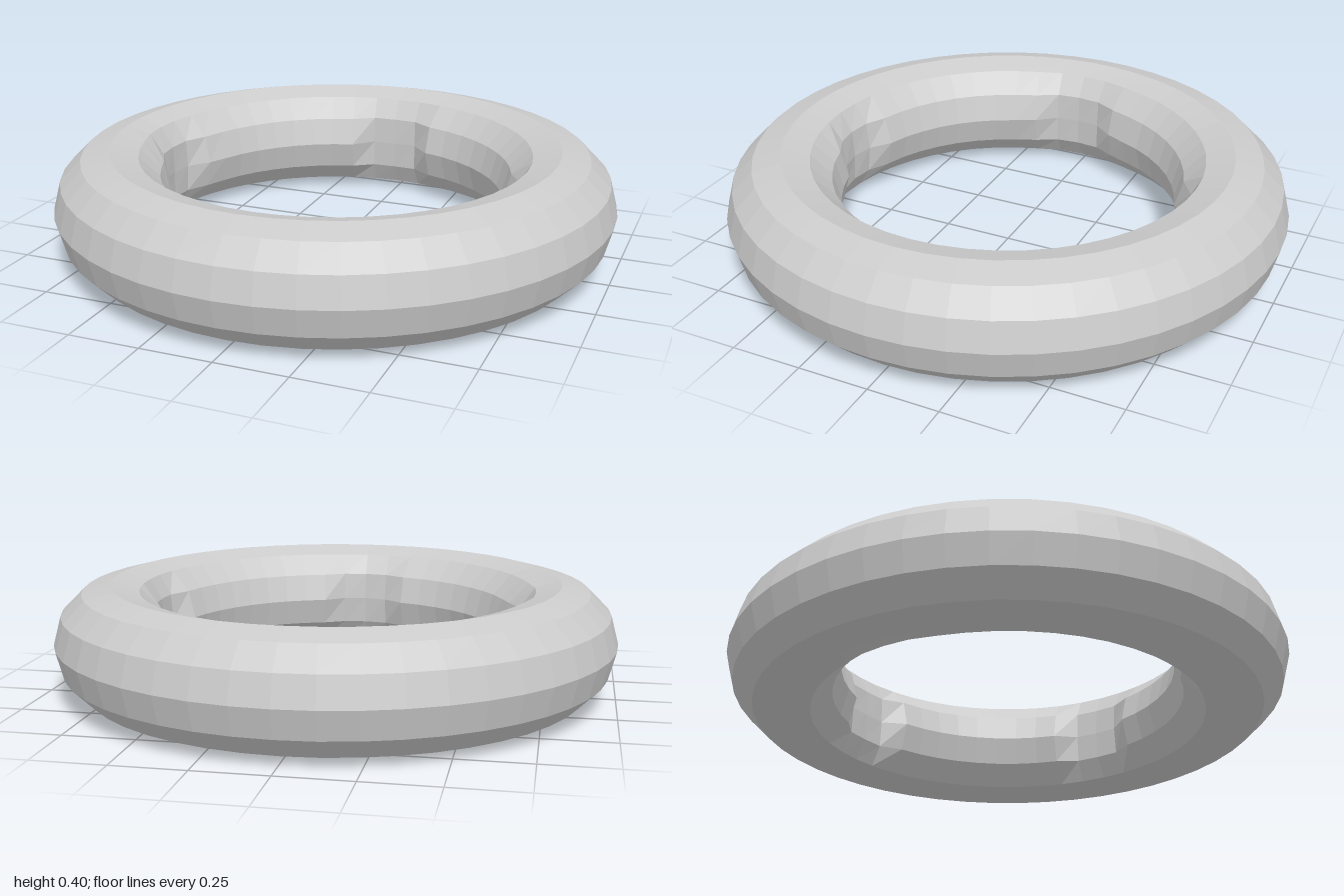
import * as THREE from 'three';

const RING = 0.8, TUBE = 0.2, SIDES = 12, SEGMENTS = 48;

// Shallow notches in the inner wall: direction (degrees from +x towards -z),
// depth at the centre and one segment to each side, and depth of the upper shoulder
const NOTCHES = [
  { at: 0, depths: [0.05, 0.05], shoulder: 0 },
  { at: 90, depths: [0.055, 0.058], shoulder: 0 },
  { at: 180, depths: [0.06, 0.055, 0.01], shoulder: 0.2 },
  { at: 270, depths: [0.05, 0.04], shoulder: 0 },
];

// Outward push of a ring vertex; step = tube sides away from the innermost line
function notchDepth(angle, step) {
  for (const { at, depths, shoulder } of NOTCHES) {
    let diff = Math.abs(angle - at) % 360;
    diff = Math.min(diff, 360 - diff);
    const depth = depths[Math.round(diff / (360 / SEGMENTS))];
    if (depth) return depth * ([1, 0.6, shoulder][step] ?? 0);
  }
  return 0;
}

export function createModel() {
  const group = new THREE.Group();
  group.name = 'notchedRing';

  const geometry = new THREE.TorusGeometry(RING, TUBE, SIDES, SEGMENTS);
  geometry.rotateX(-Math.PI / 2);
  const pos = geometry.attributes.position;

  // Press the notches into the inner side of the tube
  for (let i = 0; i < pos.count; i++) {
    const x = pos.getX(i), y = pos.getY(i), z = pos.getZ(i);
    const r = Math.hypot(x, z);
    const angle = (THREE.MathUtils.radToDeg(Math.atan2(-z, x)) + 360) % 360;
    const around = Math.abs(Math.atan2(y, RING - r));
    const step = Math.round(around / (2 * Math.PI / SIDES));
    const scale = (r + notchDepth(angle, step)) / r;
    pos.setXYZ(i, x * scale, y, z * scale);
  }
  geometry.translate(0, TUBE, 0);
  geometry.computeVertexNormals();

  const ring = new THREE.Mesh(
    geometry,
    new THREE.MeshStandardMaterial({ color: 0xcccccc, flatShading: true })
  );
  ring.name = 'ring';
  group.add(ring);
  return group;
}
